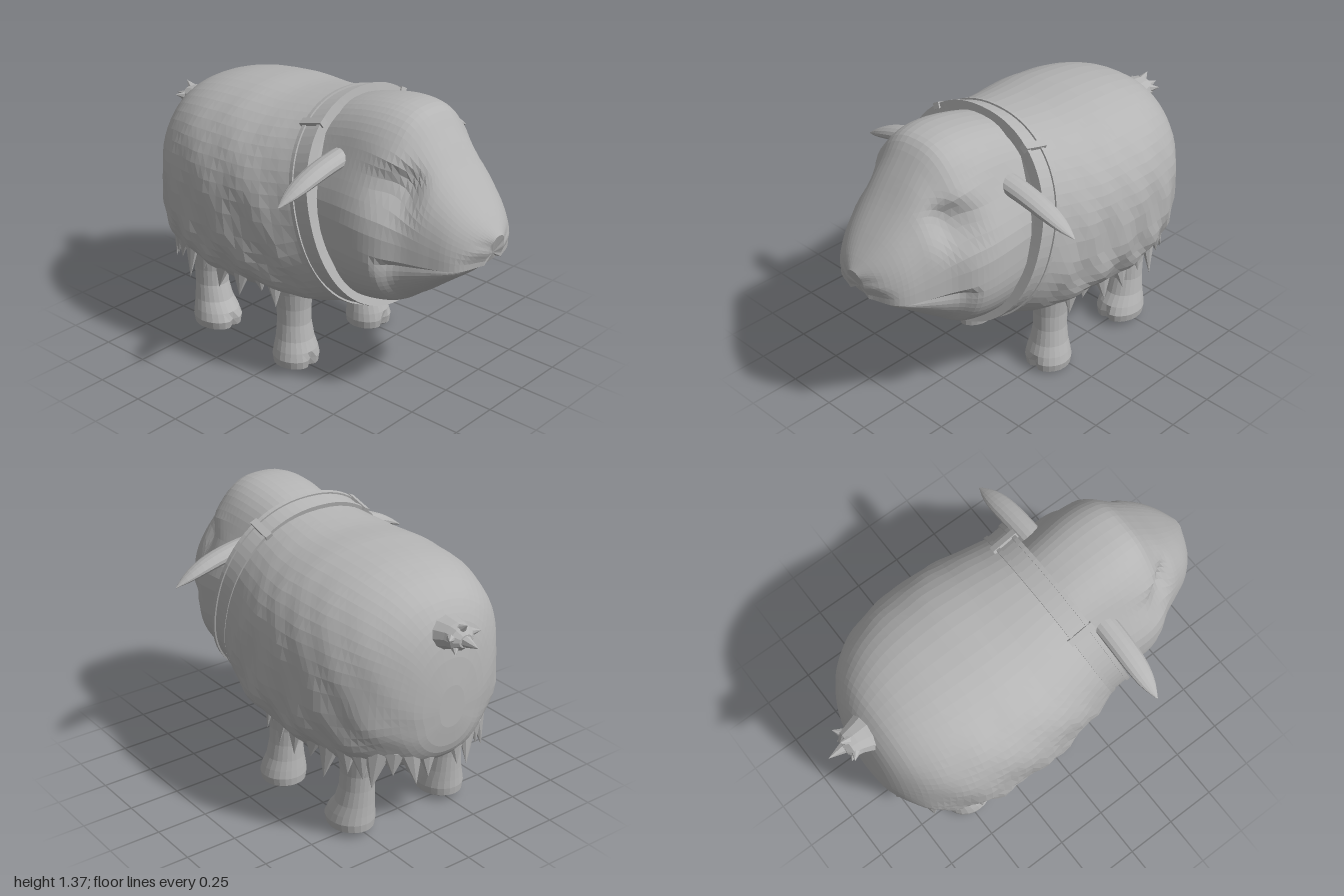
import * as THREE from 'three';

const { smoothstep } = THREE.MathUtils;
const grey = new THREE.MeshStandardMaterial({ color: 0xb4b4b4 });
grey.name = 'plain grey';
const V = (x, y, z) => new THREE.Vector3(x, y, z);
const gauss = (d, w) => Math.exp(-(d * d) / (w * w));

function faceted(geo) {
  const g = geo.index ? geo.toNonIndexed() : geo;
  g.computeVertexNormals();
  return g;
}

function add(parent, name, geo) {
  const m = new THREE.Mesh(geo, grey);
  m.name = name;
  parent.add(m);
  return m;
}

// Skin a list of rings; side -1 mirrors in x; wrap joins the last ring to the first.
function loft(rings, side = 1, wrap = false) {
  const pos = [], n = rings[0].length;
  const tri = (a, b, c) => {
    for (const p of side > 0 ? [a, b, c] : [a, c, b]) pos.push(p.x * side, p.y, p.z);
  };
  const count = wrap ? rings.length : rings.length - 1;
  for (let i = 0; i < count; i++) {
    const A = rings[i], B = rings[(i + 1) % rings.length];
    for (let j = 0; j < n; j++) {
      const k = (j + 1) % n;
      tri(A[j], A[k], B[k]);
      tri(A[j], B[k], B[j]);
    }
  }
  if (!wrap) {
    const centre = r => r.reduce((s, p) => s.add(p), V(0, 0, 0)).divideScalar(n);
    const first = rings[0], last = rings[rings.length - 1];
    const c0 = centre(first), c1 = centre(last);
    for (let j = 0; j < n; j++) {
      const k = (j + 1) % n;
      tri(c0, first[k], first[j]);
      tri(c1, last[j], last[k]);
    }
  }
  const g = new THREE.BufferGeometry();
  g.setAttribute('position', new THREE.Float32BufferAttribute(pos, 3));
  return faceted(g);
}

const ring = (n, f) => Array.from({ length: n }, (_, i) => f((i / n) * Math.PI * 2));
const curve = rows => new THREE.CubicInterpolant(
  rows.map(r => r[0]), rows.flatMap(r => r.slice(1)), rows[0].length - 1);
const power = (v, p) => Math.sign(v) * Math.abs(v) ** (2 / p);

// Body rows: z, top, bottom, half width
const bodyRows = curve([
  [-0.85, 0.8, 0.6, 0.07], [-0.84, 0.92, 0.51, 0.15], [-0.82, 1.03, 0.455, 0.22], [-0.77, 1.135, 0.41, 0.315],
  [-0.7, 1.2, 0.38, 0.392], [-0.55, 1.26, 0.345, 0.48], [-0.3, 1.29, 0.325, 0.524],
  [0, 1.29, 0.345, 0.505], [0.15, 1.3, 0.36, 0.47], [0.3, 1.315, 0.385, 0.435]]);

function bodyPoint(z, t) {
  const [top, bottom, w] = bodyRows.evaluate(z);
  const c = Math.cos(t), s = Math.sin(t), yc = bottom + (top - bottom) * 0.49;
  // wool lumps, stronger on the lower flanks
  const wool = (0.006 + 0.016 * smoothstep(-s, -0.3, 0.5)) * (1 - smoothstep(z, 0.08, 0.22));
  const k = 1 + wool * (Math.sin(21 * z + 7 * s) + 0.7 * Math.sin(37 * z - 11 * s + 1)) * Math.abs(c) ** 0.5;
  const p = s > 0 ? 2.25 : 2.25 + 0.65 * smoothstep(z, -0.85, -0.65) * (1 - smoothstep(z, 0.05, 0.25));
  const y = yc + (s > 0 ? top - yc : yc - bottom) * power(s, p);
  const lean = 0.27 * smoothstep(z, -0.45, 0.25);
  return V(w * power(c, p) * k, y, z + lean * (0.85 - y));
}

// Head rows: z, top, bottom, half width, height of the widest point (the mouth line in front)
const headRows = curve([
  [0.1, 1.28, 0.46, 0.35, 0.8], [0.3, 1.345, 0.415, 0.375, 0.8], [0.45, 1.37, 0.425, 0.393, 0.8],
  [0.55, 1.368, 0.445, 0.385, 0.785], [0.62, 1.345, 0.47, 0.36, 0.77], [0.7, 1.25, 0.515, 0.305, 0.755],
  [0.8, 1.12, 0.59, 0.258, 0.745], [0.9, 1.0, 0.665, 0.205, 0.738], [0.96, 0.925, 0.705, 0.14, 0.736],
  [1, 0.87, 0.728, 0.06, 0.74]]);

function headPoint(z, t) {
  const [top, bottom, w, yc] = headRows.evaluate(z);
  const c = Math.cos(t), s = Math.sin(t), above = s > -1e-6;
  const p = above ? 2.5 : 2.3;
  const y = yc + (above ? top - yc : yc - bottom) * power(s, p);
  let x = w * power(c, p) * (1 - 0.17 * smoothstep(y, 0.88, 1.2) * (1 - smoothstep(z, 0.65, 0.8)));
  // lips sit back below the nose tip
  let zz = z - 0.03 * smoothstep(z, 0.9, 1) * (1 - smoothstep(y, 0.75, 0.83));
  // eye sockets under a brow ridge
  const socket = gauss(y - 1.06, 0.1) * gauss(z - 0.65, 0.085) * (1 - smoothstep(y, 1.1, 1.19));
  const brow = gauss(y - 1.18, 0.05) * gauss(z - 0.59, 0.1);
  x += Math.sign(c) * Math.min(1, Math.abs(x) / 0.2) * (0.012 * brow - 0.055 * socket);
  // lower jaw set back behind the upper lip
  if (!above) {
    const mouth = smoothstep(z, 0.58, 0.68);
    x *= 1 - mouth * (0.03 + 0.06 * gauss(s, 0.2));
    zz -= 0.025 * mouth;
  }
  // crease below the nose
  zz -= 0.015 * gauss(y - 0.81 - Math.abs(x) * 0.3, 0.025) * smoothstep(z, 0.9, 0.97) * gauss(x, 0.09);
  return V(x, y, zz);
}

// Leg rows: y, half width, half depth, x, z
const legRows = [[0, 0.088, 0.09, 0.265, 0.05], [0.012, 0.106, 0.108, 0.265, 0.052],
  [0.05, 0.113, 0.112, 0.265, 0.053], [0.09, 0.105, 0.105, 0.263, 0.05], [0.14, 0.091, 0.092, 0.26, 0.043],
  [0.22, 0.08, 0.083, 0.258, 0.037], [0.3, 0.08, 0.086, 0.256, 0.034], [0.38, 0.09, 0.1, 0.255, 0.03],
  [0.5, 0.11, 0.12, 0.255, 0.03]];

function leg(side, rear) {
  return loft(legRows.map(([y, rx, rz, x, z]) => ring(24, t => {
    const c = Math.cos(t), s = -Math.sin(t), low = 1 - smoothstep(y, 0.04, 0.2);
    const cleft = s > 0 ? 0.025 * gauss(c, 0.2) * (1 - smoothstep(y, 0.03, 0.1)) : 0;
    const shift = rear ? -0.555 + 0.025 * low : 0;
    return V(x + rx * c, y + (rear ? 0.02 : 0), z + shift + (rear ? rz * (1 + 0.12 * low) : rz) * s - cleft);
  })), side);
}

// Collar strip: a closed belt of rectangular section on the leaning neck outline
function belt(u0, u1, r0, r1) {
  const at = (t, u, r) => {
    const y = 0.855 + (0.468 + r) * power(Math.sin(t), 2.2), d = 0.855 - y;
    return V((0.437 + r) * power(Math.cos(t), 2.2), y + u * 0.26, 0.275 + 0.27 * d + 0.08 * d * d + u * 0.965);
  };
  return loft(ring(72, t => [at(t, u0, r0), at(t, u1, r0), at(t, u1, r1), at(t, u0, r1)]), 1, true);
}

// Pointed tuft from a base along a direction
function spike(parent, name, base, dir, radius, length) {
  const g = new THREE.ConeGeometry(radius, length, 7, 2);
  g.translate(0, length / 2, 0);
  const m = add(parent, name, faceted(g));
  m.position.copy(base);
  m.quaternion.setFromUnitVectors(V(0, 1, 0), dir.clone().normalize());
}

export function createModel() {
  const model = new THREE.Group();
  model.name = 'sheep';

  const bodyZ = Array.from({ length: 38 }, (_, i) => -0.85 + 1.15 * (i / 37) ** 1.6);
  add(model, 'woolBody', loft(bodyZ.map(z => ring(56, t => bodyPoint(z, t)))));
  const headZ = Array.from({ length: 40 }, (_, i) => 0.1 + 0.9 * (1 - (1 - i / 39) ** 1.25));
  add(model, 'head', loft(headZ.map(z => ring(64, t => headPoint(z, t)))));

  const collar = new THREE.Group();
  collar.name = 'collar';
  model.add(collar);
  add(collar, 'collarBand', belt(-0.05, 0.05, -0.03, 0.012));
  add(collar, 'collarBackEdge', belt(-0.054, -0.034, -0.03, 0.02));
  add(collar, 'collarFrontEdge', belt(0.034, 0.054, -0.03, 0.02));

  const wool = new THREE.Group();
  wool.name = 'woolLocks';
  model.add(wool);

  for (const side of [1, -1]) {
    const word = side > 0 ? 'left' : 'right';
    add(model, word + 'FrontLeg', leg(side, false));
    add(model, word + 'RearLeg', leg(side, true));

    // collar loops
    const loop = add(collar, word + 'CollarLoop', faceted(new THREE.BoxGeometry(0.035, 0.03, 0.13)));
    loop.position.set(side * 0.275, 1.252, 0.178);
    loop.rotation.set(-0.26, 0, -side * 0.5);

    // drooping ears, tapered along a curve
    const path = new THREE.QuadraticBezierCurve3(V(0.25, 1.128, 0.325), V(0.48, 1.11, 0.33), V(0.655, 1.013, 0.322));
    const ear = Array.from({ length: 15 }, (_, i) => {
      const u = i / 14, p = path.getPoint(u), k = Math.max(0.05, 1 - u ** 4.5);
      return ring(14, t => V(p.x, p.y + (0.042 - 0.012 * u) * k * Math.cos(t), p.z + 0.056 * k * Math.sin(t)));
    });
    add(model, word + 'Ear', loft(ear, side));

    // broad flattened locks hanging round the skirt, from the rump to the shoulder
    for (let i = 0; i < 12; i++) {
      const a = 0.13 + i * 0.185;
      const x = 0.415 * power(Math.sin(a), 2.5), z = -0.3 - 0.49 * power(Math.cos(a), 2.5);
      const length = 0.15 + 0.035 * Math.sin(i * 2.4);
      const g = new THREE.ConeGeometry(0.062, length, 8, 3);
      g.rotateX(Math.PI);
      g.translate(0, -length / 2, 0);
      g.scale(1, 1, 0.55);
      const lock = add(wool, word + 'WoolLock', faceted(g));
      lock.position.set(side * x, 0.505, z);
      lock.rotation.set(-0.12, Math.atan2(side * x, z + 0.3), side * 0.15 * Math.sin(i * 1.7), 'YXZ');
    }
  }

  // tail stub with a tufted end
  const tail = new THREE.Group();
  tail.name = 'tail';
  model.add(tail);
  const stub = [[-0.92, 0.03, 1.04], [-0.895, 0.055, 1.043], [-0.86, 0.06, 1.045], [-0.81, 0.075, 1.035], [-0.73, 0.11, 1.01]];
  add(tail, 'tailStub', loft(stub.map(([z, r, y]) => ring(12, t => V(1.25 * r * Math.cos(t), y + r * Math.sin(t), z)))));
  spike(tail, 'tailTip', V(0, 1.04, -0.88), V(0, -0.04, -1), 0.04, 0.12);
  for (let i = 0; i < 5; i++) {
    const a = (i / 5) * Math.PI * 2 + 0.3;
    spike(tail, 'tailTuft', V(0.03 * Math.cos(a), 1.045 + 0.02 * Math.sin(a), -0.865),
      V(0.75 * Math.cos(a), 0.5 * Math.sin(a), -0.6), 0.038, 0.08);
  }
  return model;
}
